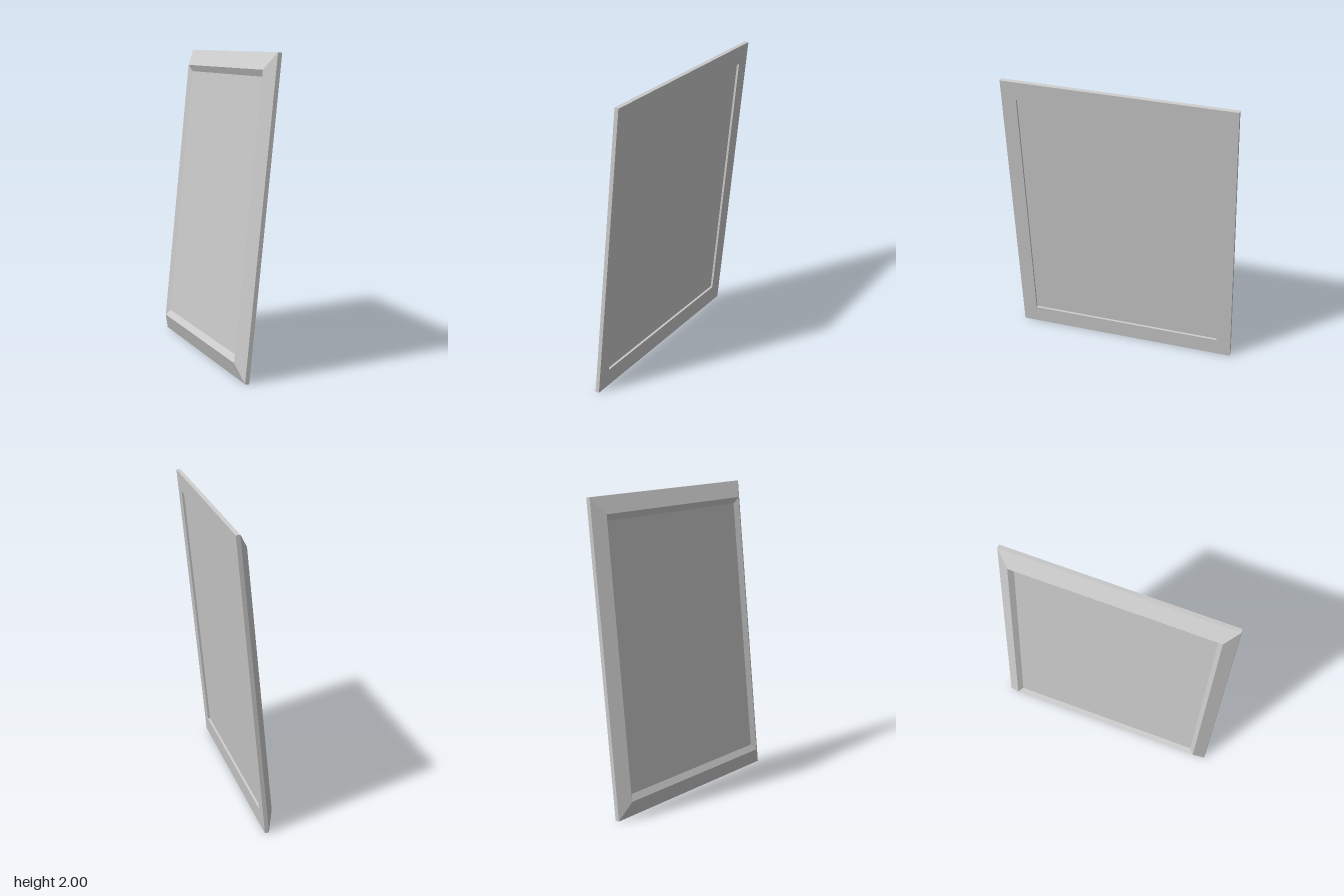
import * as THREE from 'three';

const material = new THREE.MeshStandardMaterial({ color: 0xcccccc, flatShading: true });

// Sweep a moulding profile round a rectangle with mitred corners.
// Each profile point is [half width, half height, depth].
function mitredFrame(profile) {
  const corners = [[1, 1], [-1, 1], [-1, -1], [1, -1]];
  const at = (p, c) => [p[0] * c[0], p[1] * c[1], p[2]];
  const positions = [];
  for (let i = 0; i < profile.length - 1; i++) {
    for (let j = 0; j < 4; j++) {
      const next = corners[(j + 1) % 4];
      const a = at(profile[i], corners[j]);
      const b = at(profile[i], next);
      const c = at(profile[i + 1], next);
      const d = at(profile[i + 1], corners[j]);
      positions.push(...a, ...b, ...c, ...a, ...c, ...d);
    }
  }
  const geometry = new THREE.BufferGeometry();
  geometry.setAttribute('position', new THREE.Float32BufferAttribute(positions, 3));
  geometry.computeVertexNormals();
  return geometry;
}

export function createModel() {
  const model = new THREE.Group();
  model.name = 'pictureFrame';

  const backDepth = 0.015;
  const panelDepth = 0.056;
  const rebate = [0.66, 0.877];

  // Bevelled moulding, from the inner lip over the ridge to the back rebate
  const frame = new THREE.Mesh(mitredFrame([
    [0.645, 0.853, panelDepth],
    [0.677, 0.894, 0.079],
    [0.757, 1.004, 0.027],
    [0.757, 1.004, 0],
    [...rebate, 0],
    [...rebate, backDepth],
  ].reverse()), material);
  frame.name = 'frameMoulding';

  // Flat picture panel, set in from both front and back
  const panel = new THREE.Mesh(
    new THREE.BoxGeometry(rebate[0] * 2, rebate[1] * 2, panelDepth - backDepth), material);
  panel.position.z = (panelDepth + backDepth) / 2;
  panel.name = 'picturePanel';

  // Lean back slightly and turn towards the model's right
  const leaning = new THREE.Group();
  leaning.name = 'leaningFrame';
  leaning.add(frame, panel);
  leaning.rotation.set(-0.101, -0.645, 0, 'YXZ');
  leaning.position.set(0.008, 0.999, -0.011);
  model.add(leaning);
  return model;
}
